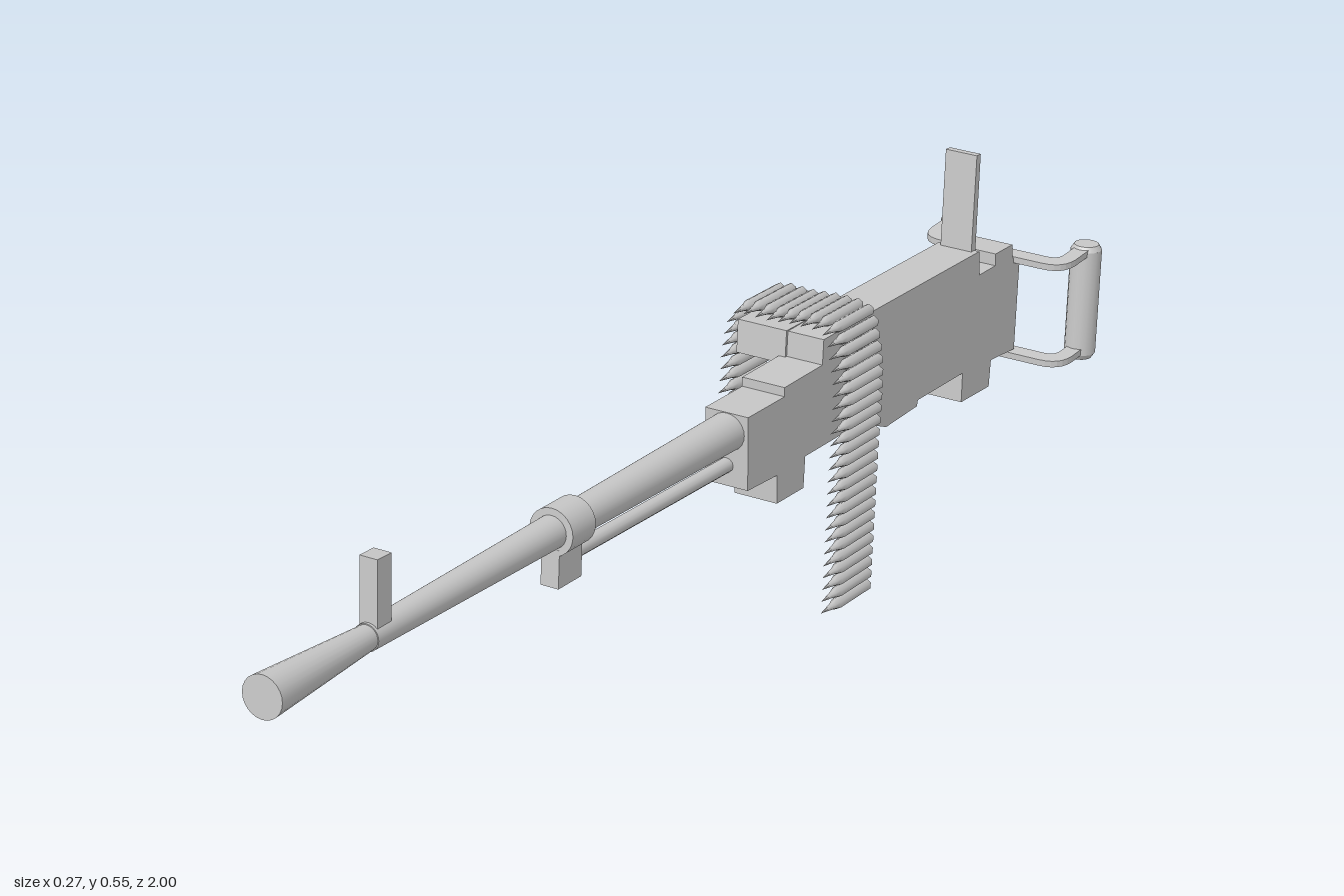
import * as THREE from 'three';

export function createModel() {
  const gun = new THREE.Group();
  const steel = new THREE.MeshStandardMaterial({ color: 0xc8c8c8 });
  steel.name = 'lightSteel';
  const CX = 0.004;     // centre line of the body
  const PITCH = 0.073;  // muzzle points slightly upwards

  const add = (name, geometry, parent = gun) => {
    const mesh = new THREE.Mesh(geometry, steel);
    mesh.name = name;
    parent.add(mesh);
    return mesh;
  };

  // Side profile given as [z, y] points, extruded across x
  const slab = (name, pts, x0, x1) => {
    const shape = new THREE.Shape(pts.map(([z, y]) => new THREE.Vector2(-z, y)));
    const g = new THREE.ExtrudeGeometry(shape, { depth: x1 - x0, bevelEnabled: false });
    g.rotateY(Math.PI / 2).translate(x0, 0, 0);
    return add(name, g);
  };

  // Round bar between two [z, y, radius] stations at a given x
  const bar = (name, [z0, y0, r0], [z1, y1, r1], x = CX, sides = 24) => {
    const a = new THREE.Vector3(x, y0, z0), b = new THREE.Vector3(x, y1, z1);
    const mesh = add(name, new THREE.CylinderGeometry(r1, r0, a.distanceTo(b), sides));
    mesh.position.lerpVectors(a, b, 0.5);
    mesh.quaternion.setFromUnitVectors(new THREE.Vector3(0, 1, 0), b.sub(a).normalize());
    return mesh;
  };

  // Receiver body
  slab('receiver', [
    [-0.09, 0.385], [-0.19, 0.378], [-0.19, 0.392], [-0.296, 0.386], [-0.299, 0.424],
    [-0.417, 0.417], [-0.765, 0.392], [-0.768, 0.353], [-0.818, 0.35], [-0.818, 0.369],
    [-0.872, 0.365], [-0.875, 0.341], [-0.898, 0.338], [-0.888, 0.187], [-0.813, 0.197],
    [-0.808, 0.155], [-0.72, 0.163], [-0.722, 0.21], [-0.583, 0.22], [-0.58, 0.211],
    [-0.487, 0.214], [-0.406, 0.251], [-0.25, 0.262], [-0.246, 0.214], [-0.171, 0.22],
    [-0.171, 0.264], [-0.09, 0.273],
  ], CX - 0.0345, CX + 0.0345);

  // Feed tray on the side of the receiver
  slab('feedTray', [[-0.295, 0.426], [-0.46, 0.414], [-0.455, 0.364], [-0.291, 0.376]], -0.1, -0.02);

  // Barrel, flared muzzle, band and gas tube
  const axisY = z => 0.362 + z * PITCH;
  bar('barrel', [-0.12, axisY(-0.12), 0.029], [0.78, axisY(0.78), 0.019]);
  bar('muzzleFlare', [0.77, axisY(0.77), 0.017], [0.998, axisY(0.998), 0.03]);
  bar('barrelBand', [0.302, axisY(0.302), 0.034], [0.358, axisY(0.358), 0.034]);
  slab('bandLug', [[0.36, 0.365], [0.304, 0.361], [0.308, 0.306], [0.364, 0.31]], CX - 0.014, CX + 0.014);
  bar('gasTube', [-0.1, 0.304, 0.011], [0.32, 0.339, 0.011], CX, 12);

  // Sights
  slab('frontSight', [[0.775, 0.42], [0.77, 0.526], [0.739, 0.523], [0.745, 0.42]], CX - 0.0135, CX + 0.0135);
  slab('rearSight', [[-0.755, 0.385], [-0.765, 0.543], [-0.777, 0.542], [-0.767, 0.37]], CX - 0.026, CX + 0.026);

  // Flat U-shaped straps carrying the grips
  const strapShape = new THREE.Shape();
  strapShape.moveTo(-0.124, 0.972);
  strapShape.lineTo(-0.124, 0.915);
  strapShape.quadraticCurveTo(-0.122, 0.878, -0.085, 0.878);
  strapShape.lineTo(0.085, 0.878);
  strapShape.quadraticCurveTo(0.122, 0.878, 0.124, 0.915);
  strapShape.lineTo(0.124, 0.972);
  strapShape.lineTo(0.1, 0.972);
  strapShape.lineTo(0.1, 0.925);
  strapShape.quadraticCurveTo(0.1, 0.905, 0.08, 0.905);
  strapShape.lineTo(-0.08, 0.905);
  strapShape.quadraticCurveTo(-0.1, 0.905, -0.1, 0.925);
  strapShape.lineTo(-0.1, 0.972);
  for (const [name, y] of [['upperStrap', 0.333], ['lowerStrap', 0.174]]) {
    const g = new THREE.ExtrudeGeometry(strapShape, { depth: 0.01, bevelEnabled: false, curveSegments: 6 });
    g.rotateX(-Math.PI / 2);
    add(name, g).position.y = y;
  }

  // Spade grips with narrower end collars
  for (const side of [-1, 1]) {
    const x = side * 0.112;
    const name = side > 0 ? 'leftGrip' : 'rightGrip';
    bar(name, [-0.965, 0.172, 0.024], [-0.975, 0.338, 0.024], x, 16);
    bar(name + 'BottomCollar', [-0.9645, 0.164, 0.019], [-0.965, 0.172, 0.024], x, 16);
    bar(name + 'TopCollar', [-0.975, 0.338, 0.024], [-0.9755, 0.346, 0.019], x, 16);
  }

  // Ammunition belt: pointed rounds spaced along a hanging curve
  const path = new THREE.CatmullRomCurve3([
    [0.063, 0.01], [0.063, 0.208], [0.063, 0.35], [0.056, 0.392], [0.043, 0.43],
    [0, 0.436], [-0.05, 0.433], [-0.1, 0.433], [-0.111, 0.424], [-0.119, 0.387],
    [-0.122, 0.333], [-0.122, 0.27], [-0.115, 0.231], [-0.099, 0.195], [-0.081, 0.181],
    [-0.06, 0.19], [-0.056, 0.226], [-0.058, 0.28], [-0.055, 0.333], [-0.047, 0.36], [-0.036, 0.372],
  ].map(([x, y]) => new THREE.Vector3(x, y, -0.324 - y * PITCH)));
  path.arcLengthDivisions = 600;

  const roundShape = new THREE.LatheGeometry([
    [0, -0.066], [0.009, -0.066], [0.009, 0.022], [0.0055, 0.034], [0, 0.068],
  ].map(([r, y]) => new THREE.Vector2(r, y)), 6).rotateX(Math.PI / 2);

  const belt = new THREE.Group();
  belt.name = 'ammunitionBelt';
  gun.add(belt);
  const count = Math.round(path.getLength() / 0.0185);
  for (let i = 0; i <= count; i++) {
    const cartridge = add('beltRound', roundShape, belt);
    cartridge.position.copy(path.getPointAt(i / count));
    cartridge.rotation.x = -PITCH;
  }

  return gun;
}
